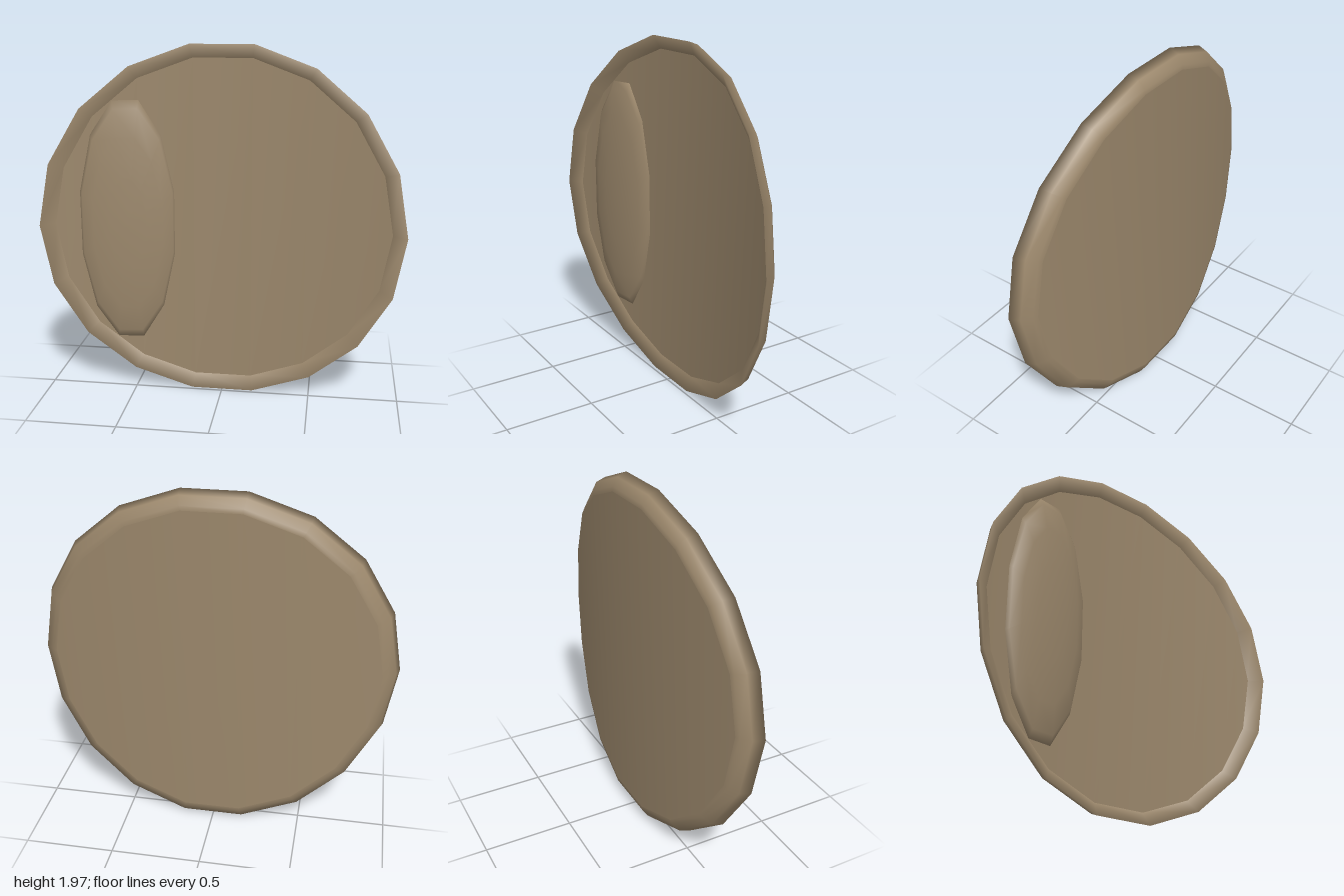
import * as THREE from 'three';

const SIDES = 18, CENTER_Y = 0.985;

// The whole dish is curved about a vertical axis
const bend = (x, offset) => 0.13 * x * x - 0.025 + offset;

// One 18-sided ring of points, bent to the dish curve
function ring(radius, offset) {
  const points = [];
  for (let i = 0; i < SIDES; i++) {
    const a = (i / SIDES) * Math.PI * 2;
    const x = radius * Math.cos(a);
    points.push(x, CENTER_Y + radius * Math.sin(a), bend(x, offset));
  }
  return points;
}

function build(points, index) {
  const g = new THREE.BufferGeometry();
  g.setAttribute('position', new THREE.Float32BufferAttribute(points, 3));
  g.setIndex(index);
  g.computeVertexNormals();
  return g;
}

// Bent disc made of vertical strips
function disc(radius, offset, facesBack) {
  const index = [];
  for (let i = 0; i < SIDES / 2; i++) {
    const lowRight = (SIDES - i) % SIDES, lowLeft = SIDES - i - 1;
    const tris = [];
    if (lowLeft !== i + 1) tris.push([lowLeft, i, i + 1]);
    if (lowRight !== i) tris.push([lowLeft, lowRight, i]);
    for (const t of tris) index.push(...(facesBack ? t.reverse() : t));
  }
  return build(ring(radius, offset), index);
}

// Smooth band through a list of [radius, offset] rings, from back to front
function band(profile) {
  const index = [];
  for (let r = 0; r < profile.length - 1; r++) {
    for (let i = 0; i < SIDES; i++) {
      const j = (i + 1) % SIDES;
      const a = r * SIDES + i, b = r * SIDES + j;
      index.push(a, b, a + SIDES, b, b + SIDES, a + SIDES);
    }
  }
  return build(profile.flatMap(([r, o]) => ring(r, o)), index);
}

export function createModel() {
  const model = new THREE.Group();
  const brown = new THREE.MeshStandardMaterial({ color: 0x9c886c });
  brown.name = 'brown';

  const add = (name, geometry) => {
    const mesh = new THREE.Mesh(geometry, brown);
    mesh.name = name;
    model.add(mesh);
    return mesh;
  };

  add('backPanel', disc(0.91, -0.087, true));
  add('rim', band([[0.91, -0.087], [0.935, -0.084], [0.98, -0.055], [1, 0], [0.925, -0.04]]));
  add('frontPanel', disc(0.925, -0.04, false));

  // Low oval dome resting on one side of the front panel
  const dome = new THREE.SphereGeometry(1, 12, 4, 0, Math.PI * 2, 0, Math.PI / 2);
  dome.rotateY(Math.PI / 12);
  dome.rotateX(Math.PI / 2);
  dome.scale(0.28, 0.714, 0.066);
  const bulge = add('bulge', dome);
  bulge.position.set(-0.53, CENTER_Y, -0.03);
  bulge.rotation.y = 0.14;

  return model;
}
